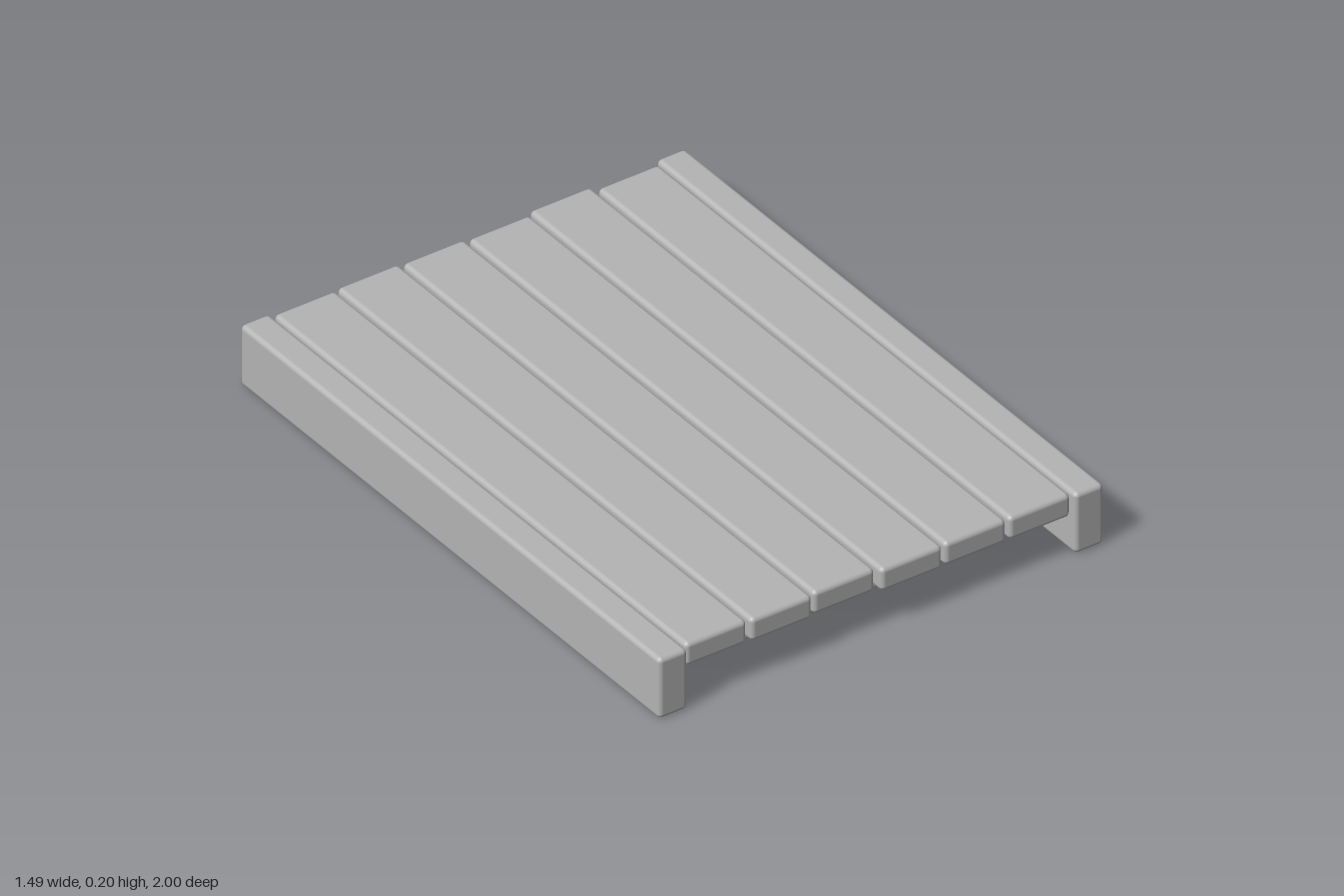
import * as THREE from 'three';
import { RoundedBoxGeometry } from 'three/addons/geometries/RoundedBoxGeometry.js';

export function createModel() {
  const group = new THREE.Group();
  group.name = 'slattedPlatform';
  const grey = new THREE.MeshStandardMaterial({ color: 0xb4b4b4 });
  grey.name = 'plainGrey';

  // Softly rounded timber, given by its extents
  const timber = (name, [x0, x1], [y0, y1], [z0, z1], radius = 0.015) => {
    const geometry = new RoundedBoxGeometry(x1 - x0, y1 - y0, z1 - z0, 3, radius);
    const mesh = new THREE.Mesh(geometry, grey);
    mesh.name = name;
    mesh.position.set((x0 + x1) / 2, (y0 + y1) / 2, (z0 + z1) / 2);
    group.add(mesh);
  };

  // Side rails
  timber('leftRail', [0.65, 0.747], [0, 0.2], [-1, 1]);
  timber('rightRail', [-0.747, -0.65], [0, 0.2], [-1, 1]);

  // Deck planks, each cut to a slightly different length
  const ends = [
    [-0.988, 0.98], [-0.994, 0.985], [-0.988, 0.976],
    [-0.981, 0.992], [-0.997, 0.989], [-0.978, 0.989],
  ];
  ends.forEach((z, i) => {
    const x = (i - 2.5) * 0.216;
    timber(`plank${i + 1}`, [x - 0.103, x + 0.103], [0.124, 0.2], z);
  });

  // Cross beams under the planks
  [-0.776, -0.002, 0.773].forEach((z, i) => {
    timber(`crossBeam${i + 1}`, [-0.65, 0.65], [0.013, 0.122], [z - 0.064, z + 0.064]);
  });

  return group;
}
